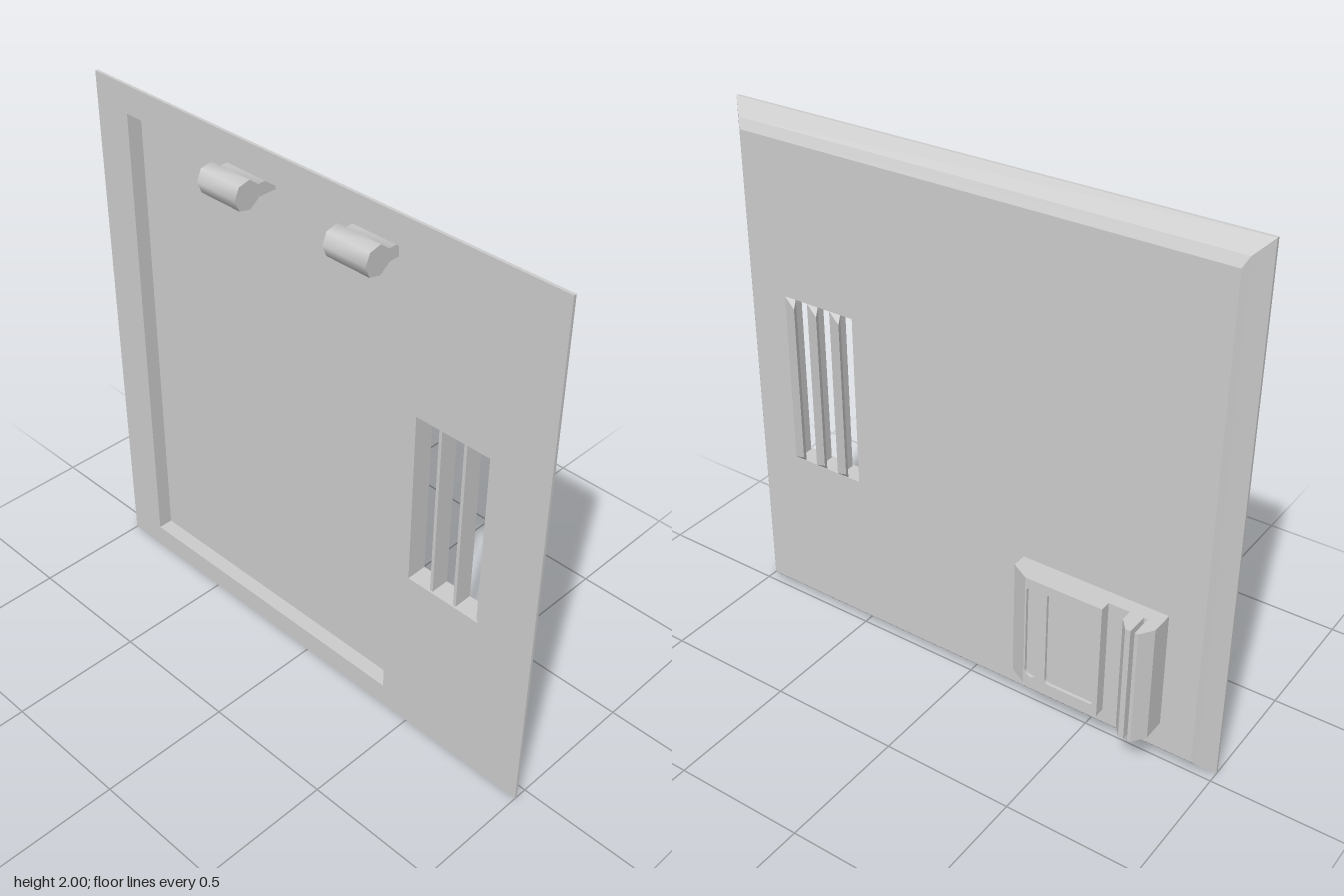
import * as THREE from 'three';
import { toCreasedNormals, mergeGeometries } from 'three/addons/utils/BufferGeometryUtils.js';

const mat = new THREE.MeshStandardMaterial({ color: 0xcccccc });
const BACK = -0.053, FRONT = 0.026, FLOOR = 0.004;

// Rectangles are [z0, z1, y0, y1]; corners run counter-clockwise seen from +x
const corners = ([z0, z1, y0, y1]) => [[z1, y0], [z0, y0], [z0, y1], [z1, y1]];

// Walls joining rectangles at successive x positions: [[x, rect], ...]
function walls(loops) {
  const pos = [];
  for (let k = 0; k < loops.length - 1; k++) {
    const [a, b] = [loops[k], loops[k + 1]].map(([x, r]) => corners(r).map(([z, y]) => [x, y, z]));
    for (let i = 0; i < 4; i++) {
      const j = (i + 1) % 4;
      pos.push(...a[i], ...a[j], ...b[j], ...a[i], ...b[j], ...b[i]);
    }
  }
  const g = new THREE.BufferGeometry();
  g.setAttribute('position', new THREE.Float32BufferAttribute(pos, 3));
  g.computeVertexNormals();
  return g;
}

// Flat rectangle with rectangular holes, facing +x (dir 1) or -x (dir -1)
function sheet(x, rect, holes, dir) {
  const pts = r => corners(r).map(([z, y]) => new THREE.Vector2(-dir * z, y));
  const s = new THREE.Shape(pts(rect));
  s.holes = holes.map(h => new THREE.Path(pts(h)));
  const g = new THREE.ShapeGeometry(s).rotateY(dir * Math.PI / 2).translate(x, 0, 0).toNonIndexed();
  g.deleteAttribute('uv');
  return g;
}

const shapeOf = pts => new THREE.Shape(pts.map(p => new THREE.Vector2(...p)));

// Cross-section in (x, z) raised from y0 to y1
function upright(section, y0, y1) {
  const g = new THREE.ExtrudeGeometry(shapeOf(section.map(([x, z]) => [x, -z])), { depth: y1 - y0, bevelEnabled: false });
  return g.rotateX(-Math.PI / 2).translate(0, y0, 0);
}

function roundedHole(z0, z1, y0, y1, r) {
  const p = new THREE.Path(), a = -z1, b = -z0, h = Math.PI / 2;
  p.absarc(b - r, y0 + r, r, -h, 0);
  p.absarc(b - r, y1 - r, r, 0, h);
  p.absarc(a + r, y1 - r, r, h, 2 * h);
  p.absarc(a + r, y0 + r, r, 2 * h, 3 * h);
  p.closePath();
  return p;
}

export function createModel() {
  const group = new THREE.Group();
  const add = (name, geometry, parent = group) => {
    const m = new THREE.Mesh(geometry, mat);
    m.name = name;
    parent.add(m);
    return m;
  };

  // Panel: bevelled rim, vent opening, shallow recess in the back
  const full = [-1, 1, 0, 2];
  const face = [-0.933, 0.933, 0.07, 1.915];
  const vent = [0.48, 0.78, 0.67, 1.335];
  const recess = [-0.845, 0.385, 0.09, 1.895];
  add('panel', mergeGeometries([
    walls([[BACK, full], [-0.042, full], [0.008, [-0.95, 0.95, 0.05, 1.95]], [FRONT, face]]),
    sheet(FRONT, face, [vent], 1),
    sheet(BACK, full, [vent, recess], -1),
    walls([[FRONT, vent], [BACK, vent]]),
    walls([[FLOOR, recess], [BACK, recess]]),
    sheet(FLOOR, recess, [], -1),
  ]));

  // Vent louvres, with the outer lip tapered at both ends
  const louvres = new THREE.Group();
  louvres.name = 'ventLouvres';
  group.add(louvres);
  for (const z of [0.58, 0.68, 0.78]) {
    const g = upright([[0.05, z - 0.06], [0.026, z], [-0.045, z], [-0.045, z - 0.012],
      [0.008, z - 0.014], [0.024, z - 0.048]], 0.67, 1.335);
    const p = g.attributes.position;
    for (let i = 0; i < p.count; i++) {
      if (p.getX(i) > 0.04) p.setY(i, p.getY(i) > 1 ? 1.31 : 0.7);
    }
    add('louvre', toCreasedNormals(g, 0.3), louvres);
  }

  // Latch: body with hooked, slit end and a face plate with sunken pads
  const latch = new THREE.Group();
  latch.name = 'latch';
  group.add(latch);
  add('latchBody', upright([
    [0.02, -0.805], [0.115, -0.805], [0.165, -0.77], [0.165, -0.757], [0.08, -0.757],
    [0.08, -0.742], [0.165, -0.742], [0.165, -0.722], [0.125, -0.69], [0.08, -0.69],
    [0.08, -0.61], [0.11, -0.61], [0.11, -0.31], [0.122, -0.31], [0.082, -0.24], [0.02, -0.24],
  ], 0.18, 0.64), latch);
  const plate = shapeOf([[0.31, 0.18], [0.61, 0.18], [0.61, 0.64], [0.31, 0.64]]);
  plate.holes.push(
    roundedHole(-0.366, -0.316, 0.22, 0.606, 0.0249),
    roundedHole(-0.596, -0.398, 0.22, 0.606, 0.015),
  );
  add('latchFacePlate', new THREE.ExtrudeGeometry(plate, { depth: 0.012, bevelEnabled: false, curveSegments: 6 })
    .rotateY(Math.PI / 2).translate(0.11, 0, 0), latch);

  // Hinge knobs on the back, necks rooted in the recess
  const knob = shapeOf([[FLOOR, 1.84], [-0.065, 1.84], [-0.105, 1.81], [-0.15, 1.82], [-0.168, 1.862],
    [-0.15, 1.903], [-0.105, 1.913], [-0.07, 1.885], [FLOOR, 1.885]]);
  for (const z of [-0.365, 0.187]) {
    const g = new THREE.ExtrudeGeometry(knob, { depth: 0.175, bevelEnabled: false });
    add('hingeKnob', toCreasedNormals(g, 1.1)).position.z = z;
  }
  return group;
}
